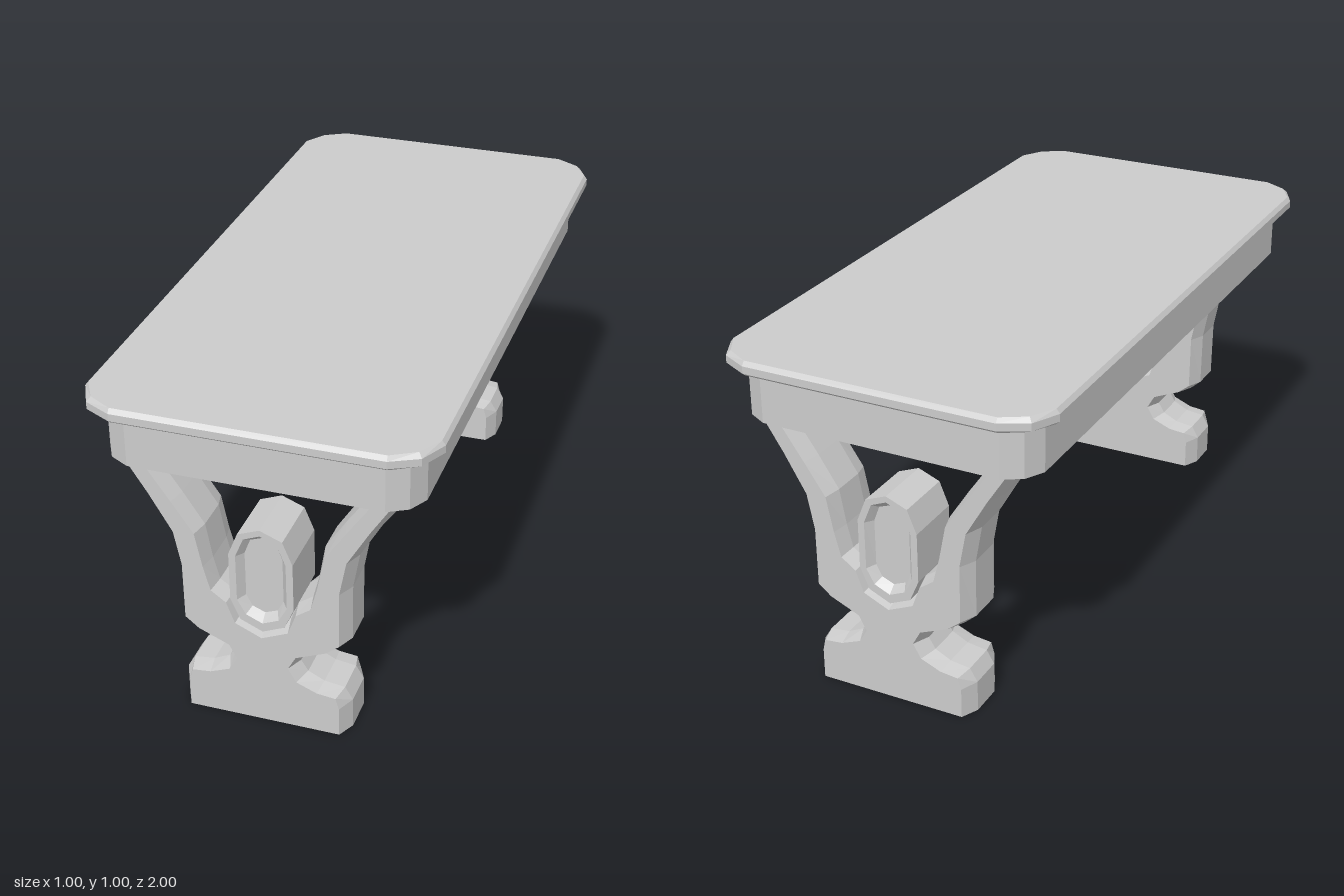
import * as THREE from 'three';

const material = new THREE.MeshStandardMaterial({ color: 0xcccccc, flatShading: true, side: THREE.DoubleSide });

// Complete a right-hand half outline (counter-clockwise) with its mirror image
function mirrorX(half) {
  const left = half.filter(([x]) => x !== 0).map(([x, y]) => [-x, y]).reverse();
  return [...half, ...left];
}

// Join outlines stacked along z into a closed solid; each section is [z, outline]
function loft(sections) {
  const positions = [];
  const index = [];
  const n = sections[0][1].length;
  for (const [z, outline] of sections) for (const [x, y] of outline) positions.push(x, y, z);
  for (let s = 0; s < sections.length - 1; s++) {
    for (let j = 0; j < n; j++) {
      const a = s * n + j, b = s * n + (j + 1) % n;
      index.push(a, b, b + n, a, b + n, a + n);
    }
  }
  const cap = (s, flip) => {
    const contour = sections[s][1].map(([x, y]) => new THREE.Vector2(x, y));
    for (const [a, b, c] of THREE.ShapeUtils.triangulateShape(contour, [])) {
      const o = s * n;
      if (flip) index.push(o + a, o + c, o + b);
      else index.push(o + a, o + b, o + c);
    }
  };
  cap(0, true);
  cap(sections.length - 1, false);
  const geometry = new THREE.BufferGeometry();
  geometry.setAttribute('position', new THREE.Float32BufferAttribute(positions, 3));
  geometry.setIndex(index);
  const flat = geometry.toNonIndexed();
  flat.computeVertexNormals();
  return flat;
}

function addMesh(parent, geometry, name) {
  const mesh = new THREE.Mesh(geometry, material);
  mesh.name = name;
  parent.add(mesh);
  return mesh;
}

// Rectangle with faceted corners, half sizes w and d
function roundedOutline(w, d, inset, far, near) {
  const a = w - inset, b = d - inset;
  return mirrorX([
    [w - far, -b], [a - near, -b + near], [a, -d + far],
    [a, d - far], [a - near, b - near], [w - far, b],
  ]);
}

// Horizontal slab from [height, inset] pairs
function slab(w, d, far, near, profile) {
  const sections = profile.map(([y, inset]) => [y, roundedOutline(w, d, inset, far, near)]);
  return loft(sections).rotateX(-Math.PI / 2);
}

// Trestle silhouette: widest band in the middle of its thickness
const trestleBand = mirrorX([
  [0.25, 0], [0.25, 0.095], [0.227, 0.134], [0.166, 0.142], [0.118, 0.166],
  [0.097, 0.2], [0.118, 0.246], [0.215, 0.283], [0.25, 0.314], [0.252, 0.49],
  [0.272, 0.6], [0.337, 0.713], [0.4, 0.8],
  [0.305, 0.8], [0.235, 0.7], [0.174, 0.606], [0.155, 0.5], [0.137, 0.43],
  [0.094, 0.4], [0.07, 0.338], [0, 0.305],
]);
// Narrower outline of the trestle's front and back faces
const trestleFace = mirrorX([
  [0.225, 0], [0.225, 0.092], [0.215, 0.127], [0.16, 0.133], [0.099, 0.158],
  [0.075, 0.2], [0.099, 0.244], [0.188, 0.282], [0.227, 0.314], [0.228, 0.49],
  [0.249, 0.597], [0.315, 0.71], [0.373, 0.8],
  [0.323, 0.8], [0.25, 0.695], [0.187, 0.602], [0.166, 0.497], [0.146, 0.422],
  [0.102, 0.39], [0.078, 0.325], [0, 0.29],
]);

// Medallion outlines, from the rim inwards to the sunken panel
const rimOuter = mirrorX([[0, 0.306], [0.065, 0.335], [0.093, 0.4], [0.093, 0.55], [0.065, 0.62], [0, 0.646]]);
const rimInner = mirrorX([[0, 0.334], [0.048, 0.355], [0.073, 0.4], [0.073, 0.546], [0.048, 0.607], [0, 0.627]]);
const panel = mirrorX([[0, 0.355], [0.037, 0.37], [0.055, 0.405], [0.055, 0.545], [0.037, 0.592], [0, 0.606]]);

export function createModel() {
  const table = new THREE.Group();
  table.name = 'table';

  // Top board with bevelled edges, and the apron beneath it
  addMesh(table, slab(0.5, 1, 0.12, 0.04, [[0.955, 0.012], [0.965, 0], [0.987, 0], [1, 0.01]]), 'tableTop');
  addMesh(table, slab(0.45, 0.95, 0.088, 0.031, [[0.8, 0], [0.956, 0]]), 'apron');

  // A carved trestle with its medallion near each end
  const trestleGeometry = loft([
    [-0.1, trestleFace], [-0.05, trestleBand], [0.05, trestleBand], [0.1, trestleFace],
  ]);
  const medallionGeometry = loft([
    [-0.065, panel], [-0.09, rimInner], [-0.09, rimOuter],
    [0.09, rimOuter], [0.09, rimInner], [0.065, panel],
  ]);
  for (const side of [1, -1]) {
    const support = new THREE.Group();
    support.name = side > 0 ? 'frontSupport' : 'backSupport';
    support.position.z = side * 0.83;
    addMesh(support, trestleGeometry, 'trestle');
    addMesh(support, medallionGeometry, 'medallion');
    table.add(support);
  }
  return table;
}
